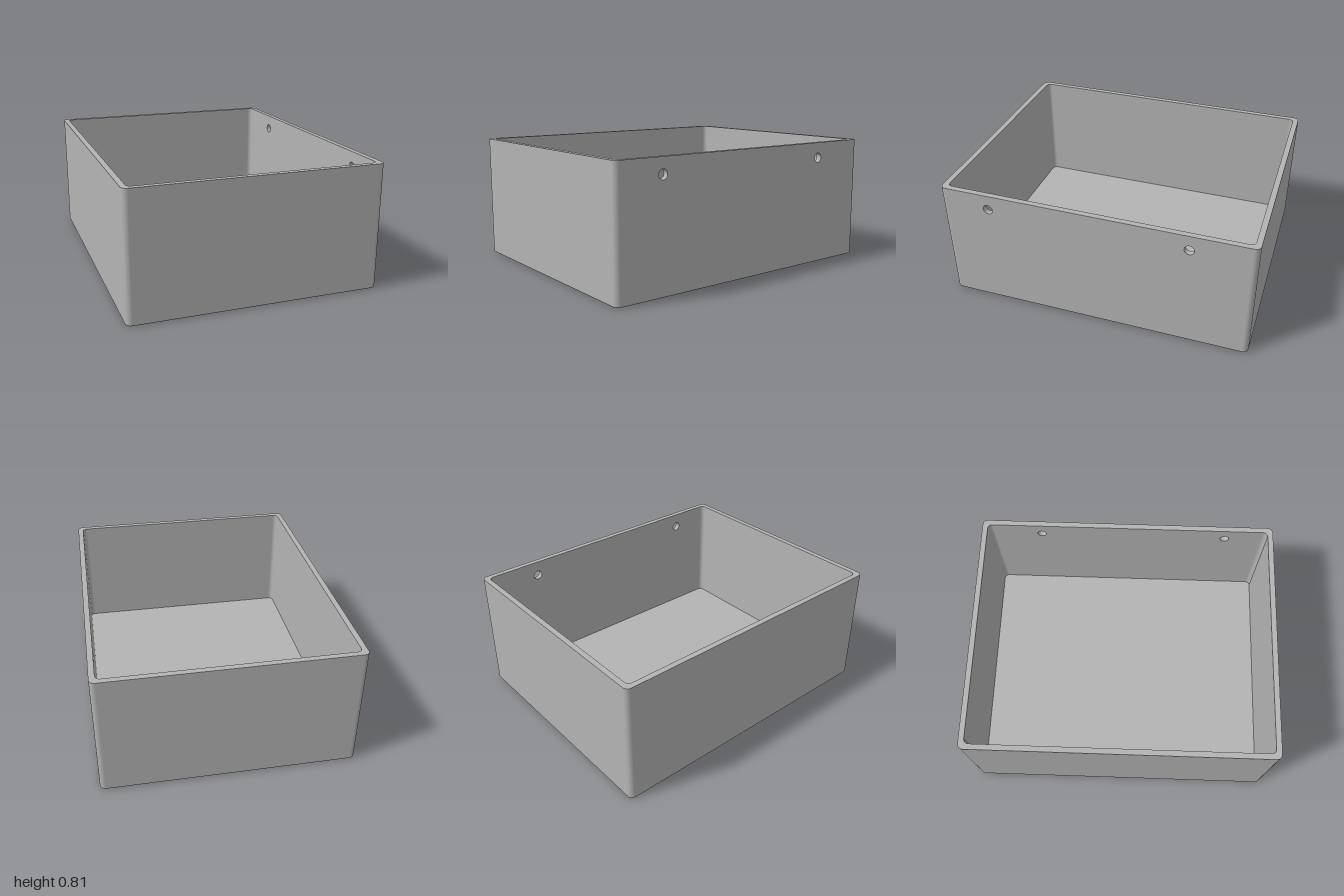
import * as THREE from 'three';

const HX = 0.805, HZ = 1, H = 0.81;     // outer half sizes and height
const WALL = 0.036, FLOOR = 0.042;      // wall and floor thickness
const R = 0.035, RI = 0.03, FILLET = 0.012;
const HOLE_R = 0.031, HOLE_Y = 0.71, HOLES_Z = [0.68, -0.6];
const STEPS = 8;

// Rounded rectangle in x/z with outward normals; starts and ends on the +x side.
function outline(hx, hz, r) {
  const pts = [];
  [[1, 1], [-1, 1], [-1, -1], [1, -1]].forEach(([sx, sz], k) => {
    for (let i = 0; i <= STEPS; i++) {
      const a = (k + i / STEPS) * Math.PI / 2, nx = Math.cos(a), nz = Math.sin(a);
      pts.push({ x: sx * (hx - r) + nx * r, z: sz * (hz - r) + nz * r, nx, nz });
    }
  });
  return pts;
}

// Surface through stacked outlines; each row has an inset, height and downward tilt.
function loft(hx, hz, r, rows, closed, inward) {
  const pos = [], nor = [], idx = [], s = inward ? -1 : 1;
  const n = 4 * (STEPS + 1);
  for (const { inset, y, tilt } of rows) {
    for (const p of outline(hx - inset, hz - inset, r - inset)) {
      pos.push(p.x, y, p.z);
      nor.push(s * p.nx * Math.cos(tilt), -Math.sin(tilt), s * p.nz * Math.cos(tilt));
    }
  }
  for (let k = 0; k < rows.length - 1; k++) {
    for (let j = 0; j < (closed ? n : n - 1); j++) {
      const a = k * n + j, b = k * n + (j + 1) % n, c = b + n, d = a + n;
      if (inward) idx.push(a, c, d, a, b, c);
      else idx.push(a, d, c, a, c, b);
    }
  }
  const g = new THREE.BufferGeometry();
  g.setAttribute('position', new THREE.Float32BufferAttribute(pos, 3));
  g.setAttribute('normal', new THREE.Float32BufferAttribute(nor, 3));
  g.setIndex(idx);
  return g;
}

const roundedShape = (hx, hz, r) =>
  new THREE.Shape(outline(hx, hz, r).map(p => new THREE.Vector2(p.x, p.z)));

// Flat face of the drilled wall; dir is +1 for the outside, -1 for the inside.
function drilledFace(half, y0, x, dir) {
  const shape = new THREE.Shape([[-half, y0], [half, y0], [half, H], [-half, H]]
    .map(p => new THREE.Vector2(...p)));
  for (const z of HOLES_Z) {
    shape.holes.push(new THREE.Path().absarc(-dir * z, HOLE_Y, HOLE_R, 0, Math.PI * 2, true));
  }
  return new THREE.ShapeGeometry(shape, 16).rotateY(dir * Math.PI / 2).translate(x, 0, 0);
}

export function createModel() {
  const model = new THREE.Group();
  model.name = 'openBox';
  const grey = new THREE.MeshStandardMaterial({ color: 0xb4b4b4 });
  grey.name = 'grey';
  const greyInside = grey.clone();   // same colour, seen from inside the bores
  greyInside.side = THREE.BackSide;
  const add = (name, geometry, material = grey) => {
    const mesh = new THREE.Mesh(geometry, material);
    mesh.name = name;
    model.add(mesh);
    return mesh;
  };
  const ix = HX - WALL, iz = HZ - WALL;

  // Plain walls and corners, outside and inside
  add('outerWalls', loft(HX, HZ, R,
    [{ inset: 0, y: FILLET, tilt: 0 }, { inset: 0, y: H, tilt: 0 }], false, false));
  add('innerWalls', loft(ix, iz, RI,
    [{ inset: 0, y: FLOOR, tilt: 0 }, { inset: 0, y: H, tilt: 0 }], false, true));

  // Left wall with its two holes
  add('drilledWallOutside', drilledFace(HZ - R, FILLET, HX, 1));
  add('drilledWallInside', drilledFace(iz - RI, FLOOR, ix, -1));
  for (const z of HOLES_Z) {
    const bore = new THREE.CylinderGeometry(HOLE_R, HOLE_R, WALL, 32, 1, true).rotateZ(Math.PI / 2);
    add('hole', bore, greyInside).position.set(HX - WALL / 2, HOLE_Y, z);
  }

  // Rounded lower edge
  const rows = [];
  for (let i = 0; i <= 5; i++) {
    const tilt = (1 - i / 5) * Math.PI / 2;
    rows.push({ inset: FILLET * (1 - Math.cos(tilt)), y: FILLET * (1 - Math.sin(tilt)), tilt });
  }
  add('lowerEdge', loft(HX, HZ, R, rows, true, false));

  // Rim, floor and underside
  const rim = roundedShape(HX, HZ, R);
  rim.holes.push(roundedShape(ix, iz, RI));
  add('rim', new THREE.ShapeGeometry(rim).rotateX(-Math.PI / 2).translate(0, H, 0));
  add('floor', new THREE.ShapeGeometry(roundedShape(ix, iz, RI))
    .rotateX(-Math.PI / 2).translate(0, FLOOR, 0));
  add('underside', new THREE.ShapeGeometry(
    roundedShape(HX - FILLET, HZ - FILLET, R - FILLET)).rotateX(Math.PI / 2));

  return model;
}
